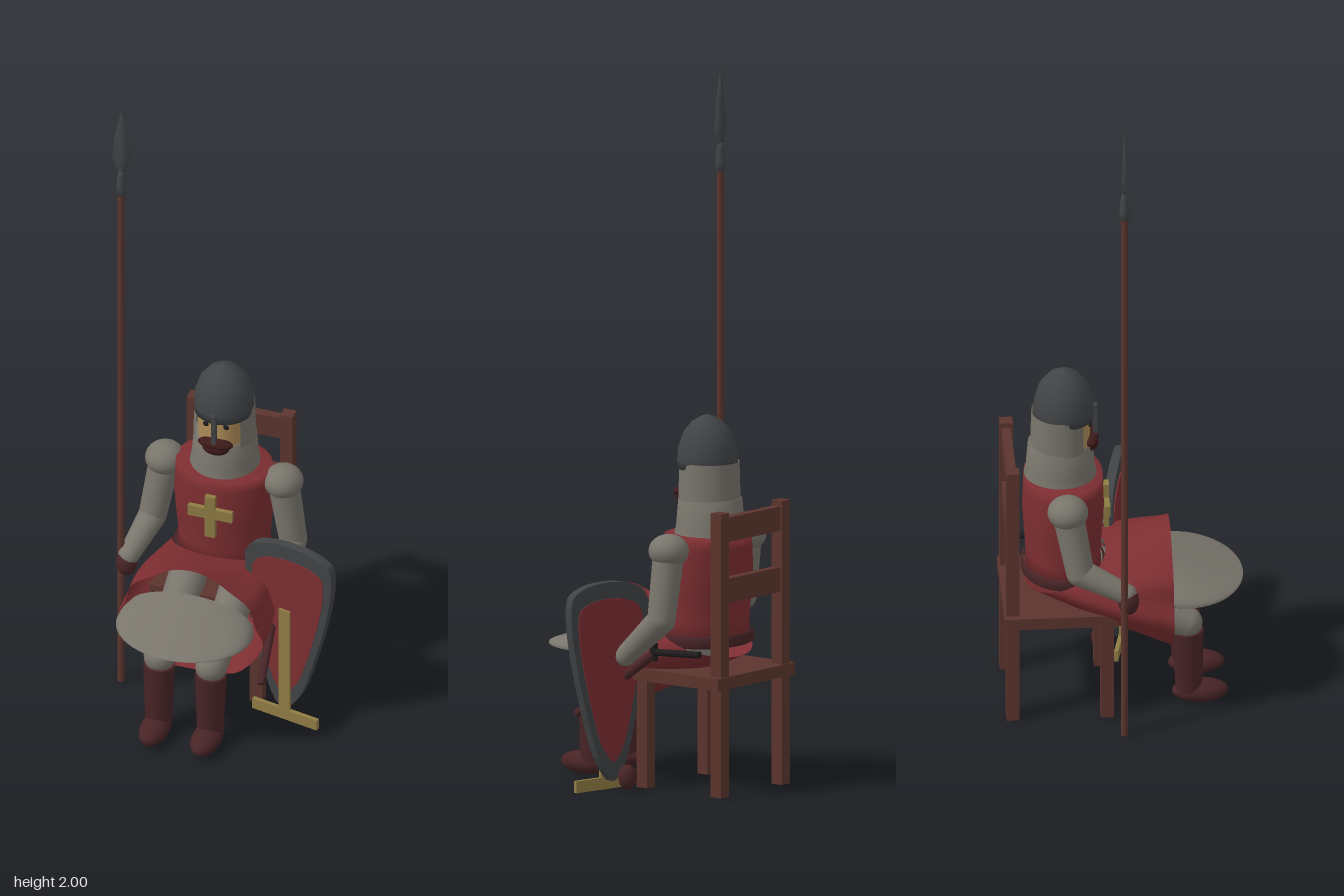
import * as THREE from 'three';

const V = (x, y, z) => new THREE.Vector3(x, y, z);
const CX = -0.06; // the sitter and the chair are centred here

export function createModel() {
  const model = new THREE.Group();
  const mat = (name, color, side = THREE.FrontSide) => {
    const m = new THREE.MeshStandardMaterial({ color, side });
    m.name = name;
    return m;
  };
  const red = mat('red cloth', 0x7d2e31, THREE.DoubleSide);
  const mail = mat('grey mail', 0x79756c, THREE.DoubleSide);
  const steel = mat('dark steel', 0x414345);
  const wood = mat('brown wood', 0x5c352e);
  const leather = mat('dark leather', 0x482426);
  const gold = mat('dull gold', 0x8f7c44);
  const skin = mat('skin', 0xb08c58);
  const hair = mat('dark hair', 0x3c1a19);
  const black = mat('black', 0x1e1c1c);

  const add = (name, geo, material, x = 0, y = 0, z = 0, parent = model) => {
    const m = new THREE.Mesh(geo, material);
    m.name = name;
    m.position.set(x, y, z);
    parent.add(m);
    return m;
  };
  const box = (name, w, h, d, material, x, y, z, parent) =>
    add(name, new THREE.BoxGeometry(w, h, d), material, x, y, z, parent);
  const ball = (name, rx, ry, rz, material, x, y, z) =>
    add(name, new THREE.SphereGeometry(1, 24, 16).scale(rx, ry, rz), material, x, y, z);
  // tapered rod from a to b
  const limb = (name, a, b, ra, rb, material) => {
    const d = b.clone().sub(a);
    const m = add(name, new THREE.CylinderGeometry(rb, ra, d.length(), 20), material);
    m.position.copy(a).addScaledVector(d, 0.5);
    m.quaternion.setFromUnitVectors(V(0, 1, 0), d.normalize());
    return m;
  };
  const lathe = (pts, segs = 36, start = 0, len = Math.PI * 2) =>
    new THREE.LatheGeometry(pts.map(p => new THREE.Vector2(...p)), segs, start, len);
  // surface through rows of points
  const loft = (rows) => {
    const n = rows[0].length, pos = [], idx = [];
    rows.forEach(r => r.forEach(p => pos.push(p.x, p.y, p.z)));
    for (let i = 0; i < rows.length - 1; i++)
      for (let j = 0; j < n; j++) {
        const a = i * n + j, b = i * n + (j + 1) % n;
        idx.push(a, b, a + n, b, b + n, a + n);
      }
    const g = new THREE.BufferGeometry();
    g.setAttribute('position', new THREE.Float32BufferAttribute(pos, 3));
    g.setIndex(idx);
    g.computeVertexNormals();
    return g;
  };

  // Chair
  box('seat', 0.352, 0.035, 0.32, wood, CX, 0.328, -0.185);
  for (const s of [-1, 1]) {
    box('backPost', 0.037, 0.815, 0.037, wood, CX + s * 0.139, 0.4075, -0.322);
    box('frontLeg', 0.037, 0.32, 0.037, wood, CX + s * 0.139, 0.16, -0.055);
  }
  for (const y of [0.765, 0.59]) box('backSlat', 0.25, 0.07, 0.026, wood, CX, y, -0.323);

  // Torso, collar band and belt
  const torso = lathe([[0, 0.41], [0.135, 0.41], [0.133, 0.48], [0.14, 0.56], [0.145, 0.62],
    [0.142, 0.69], [0.14, 0.725], [0, 0.726]]).scale(1, 1, 0.8);
  add('surcoat', torso, red, CX, 0, -0.17);
  add('belt', lathe([[0.137, 0.41], [0.146, 0.415], [0.146, 0.44], [0.137, 0.445]]).scale(1, 1, 0.82),
    leather, CX, 0, -0.17);
  box('chestCrossUpright', 0.03, 0.14, 0.014, gold, CX, 0.613, -0.047);
  box('chestCrossBar', 0.132, 0.034, 0.014, gold, CX, 0.624, -0.047);

  // Coat skirt draped over the lap, open at the front hem
  const half = [[0.06, 0.533], [0.12, 0.495], [0.178, 0.45], [0.193, 0.39], [0.218, 0.335],
    [0.19, 0.275], [0.13, 0.215]];
  const hem = [V(0, 0.545, 0), ...half.map(p => V(p[0], p[1], 0)), V(0, 0.203, 0),
    ...half.slice().reverse().map(p => V(-p[0], p[1], 0))];
  const hemCurve = new THREE.CatmullRomCurve3(hem, true);
  const N = 48, rows = [];
  for (let i = 0; i <= 8; i++) {
    const t = i / 8, row = [];
    for (let j = 0; j < N; j++) {
      const a = j / N * Math.PI * 2, h = hemCurve.getPoint(j / N);
      const waist = V(0.15 * Math.sin(a), 0.425 + 0.045 * Math.cos(a), -0.165 + 0.115 * Math.cos(a));
      const p = waist.lerp(V(h.x, h.y, 0.132), t);
      p.x *= 1 + 0.12 * Math.sin(Math.PI * t);
      row.push(p.setX(p.x + CX));
    }
    rows.push(row);
  }
  add('coatSkirt', loft(rows), red);

  // Mail tongue reaching forward out of the skirt
  const tongue = [];
  for (let i = 0; i <= 14; i++) {
    const u = i / 14 * Math.PI * 0.62, z = 0.18 + 0.16 * Math.cos(u), row = [];
    const w = 0.199 * Math.sin(u), s = (0.34 - z) / 0.2;
    for (let j = 0; j < 32; j++) {
      const a = j / 32 * Math.PI * 2, c = Math.cos(a);
      row.push(V(CX + w * Math.sin(a), 0.377 + c * s * (c > 0 ? 0.07 : 0.02), z));
    }
    tongue.push(row);
  }
  add('mailSkirt', loft(tongue.reverse()), mail);

  // Legs and boots
  for (const s of [-1, 1]) {
    const x = CX + s * 0.077;
    limb('thigh', V(x, 0.37, -0.08), V(x, 0.258, 0.175), 0.055, 0.045, mail);
    ball('knee', 0.045, 0.045, 0.045, mail, x, 0.258, 0.175);
    limb('bootShaft', V(x, 0.04, 0.182), V(x, 0.235, 0.178), 0.038, 0.045, leather);
    ball('bootFoot', 0.042, 0.033, 0.08, leather, x, 0.033, 0.213);
  }

  // Arms
  const arms = [
    ['right', V(-0.236, 0.69, -0.168), V(-0.262, 0.51, -0.135), V(-0.29, 0.45, -0.005)],
    ['left', V(0.117, 0.69, -0.168), V(0.147, 0.5, -0.165), V(0.152, 0.385, -0.04)],
  ];
  for (const [side, shoulder, elbow, wrist] of arms) {
    ball(side + 'Shoulder', 0.057, 0.048, 0.058, mail, shoulder.x, shoulder.y + 0.005, shoulder.z);
    limb(side + 'UpperArm', shoulder, elbow, 0.045, 0.04, mail);
    ball(side + 'Elbow', 0.04, 0.04, 0.04, mail, ...elbow.toArray());
    limb(side + 'Forearm', elbow, wrist, 0.04, 0.03, mail);
    ball(side + 'Cuff', 0.03, 0.03, 0.03, mail, ...wrist.toArray());
  }
  ball('rightGlove', 0.031, 0.042, 0.03, leather, -0.294, 0.43, 0);
  ball('leftGlove', 0.028, 0.036, 0.026, leather, 0.155, 0.038, -0.05);

  // Head: face, mail hood with a face opening, helmet
  add('face', new THREE.CylinderGeometry(0.074, 0.07, 0.16, 32), skin, CX, 0.85, -0.165);
  add('hoodCollar', lathe([[0.1, 0.725], [0.095, 0.75], [0.089, 0.825], [0.07, 0.83]]).scale(1, 1, 1.03),
    mail, CX, 0, -0.178);
  add('hoodSides', lathe([[0.089, 0.82], [0.086, 0.93]], 32, 0.85, Math.PI * 2 - 1.7), mail, CX, 0, -0.174);
  add('helmet', lathe([[0, 0.91], [0.085, 0.91], [0.086, 0.935], [0.083, 0.97], [0.07, 1.01],
    [0.045, 1.042], [0.018, 1.058], [0, 1.064]]), steel, CX, 0, -0.168);
  box('noseGuard', 0.013, 0.11, 0.012, steel, CX, 0.89, -0.078);
  ball('noseGuardStud', 0.008, 0.008, 0.008, steel, CX, 0.94, -0.077);
  ball('beard', 0.04, 0.022, 0.026, hair, CX, 0.822, -0.095);
  ball('moustache', 0.052, 0.016, 0.022, hair, CX, 0.838, -0.091);
  for (const s of [-1, 1]) ball('eye', 0.009, 0.008, 0.004, black, CX + s * 0.03, 0.896, -0.097);

  // Spear
  add('spearShaft', new THREE.CylinderGeometry(0.01, 0.01, 1.73, 12), wood, -0.315, 0.865, -0.013);
  add('spearSocket', lathe([[0, 1.71], [0.014, 1.71], [0.014, 1.735], [0.011, 1.775], [0.007, 1.79], [0, 1.79]], 12),
    steel, -0.315, 0, -0.013);
  add('spearHead', lathe([[0, 1.775], [0.01, 1.78], [0.027, 1.835], [0.02, 1.91], [0, 2]], 4).scale(1, 1, 0.25),
    steel, -0.315, 0, -0.013);

  // Sword hanging at the left hip
  limb('swordGrip', V(0.118, 0.408, -0.28), V(0.125, 0.4, -0.12), 0.01, 0.01, black);
  box('swordGuard', 0.02, 0.05, 0.014, black, 0.125, 0.4, -0.12);
  limb('scabbard', V(0.125, 0.395, -0.12), V(0.152, 0.2, 0.135), 0.014, 0.011, leather);

  // Shield leaning on the left side
  const shield = new THREE.Group();
  shield.name = 'shield';
  shield.position.set(0.19, 0, -0.006);
  shield.rotation.y = -0.21;
  model.add(shield);
  const outline = [[-0.143, 0.535], [-0.11, 0.575], [-0.03, 0.597], [0.06, 0.597], [0.12, 0.58], [0.145, 0.55],
    [0.143, 0.46], [0.112, 0.31], [0.055, 0.12], [0.01, 0.045], [-0.02, 0.03], [-0.065, 0.1], [-0.112, 0.28],
    [-0.137, 0.45]];
  const slab = (k, depth) => {
    const pts = outline.map(([x, y]) => new THREE.Vector2(x * k, 0.34 + (y - 0.34) * (k + 0.02)));
    const s = new THREE.Shape(new THREE.SplineCurve([...pts, pts[0]]).getPoints(60));
    return new THREE.ExtrudeGeometry(s, { depth, bevelEnabled: false }).translate(0, 0, -depth / 2);
  };
  add('shieldRim', slab(0.98, 0.026), steel, 0, 0, 0, shield);
  add('shieldFace', slab(0.8, 0.032), red, 0, 0, 0, shield);
  box('shieldCrossUpright', 0.036, 0.38, 0.008, gold, -0.005, 0.19, 0.019, shield);
  box('shieldCrossBar', 0.212, 0.034, 0.012, gold, -0.002, 0.018, 0.019, shield);

  return model;
}
